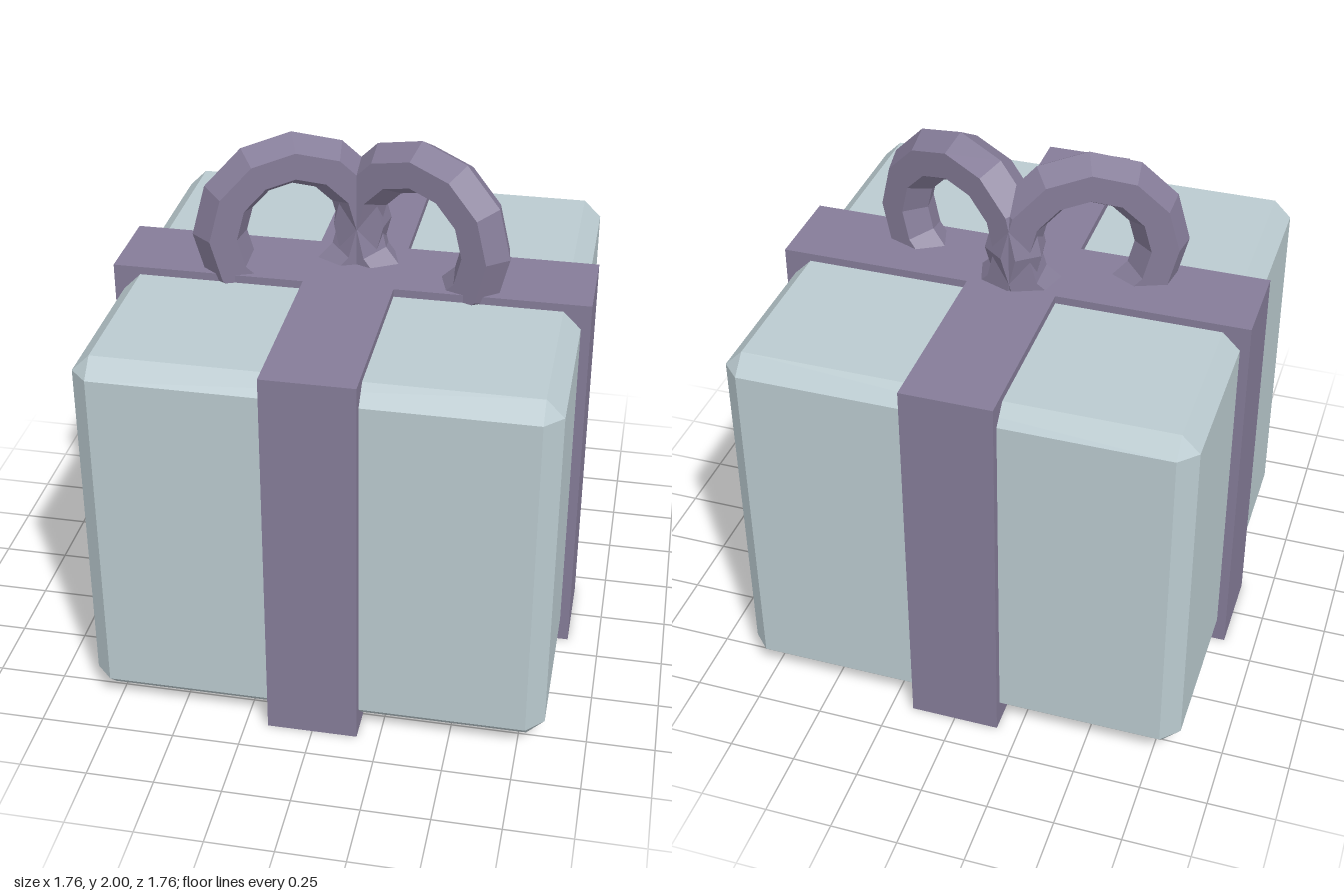
import * as THREE from 'three';
import { ConvexGeometry } from 'three/addons/geometries/ConvexGeometry.js';

// Box with flat chamfers on every edge, centred on the origin
function chamferBox(hx, hy, hz, c) {
  const points = [];
  for (const x of [-1, 1]) for (const y of [-1, 1]) for (const z of [-1, 1]) {
    points.push(
      new THREE.Vector3(x * hx, y * (hy - c), z * (hz - c)),
      new THREE.Vector3(x * (hx - c), y * hy, z * (hz - c)),
      new THREE.Vector3(x * (hx - c), y * (hy - c), z * hz)
    );
  }
  return new ConvexGeometry(points);
}

// Faceted copy of a smooth geometry
function faceted(geometry) {
  const flat = geometry.toNonIndexed();
  flat.computeVertexNormals();
  return flat;
}

export function createModel() {
  const paper = new THREE.MeshStandardMaterial({ color: 0xbacacf });
  paper.name = 'pale blue grey paper';
  const satin = new THREE.MeshStandardMaterial({ color: 0x857c98 });
  satin.name = 'muted purple ribbon';

  const model = new THREE.Group();
  model.name = 'giftBox';
  const add = (name, geometry, material) => {
    const mesh = new THREE.Mesh(geometry, material);
    mesh.name = name;
    model.add(mesh);
    return mesh;
  };

  // Wrapped box
  add('box', chamferBox(0.845, 0.7125, 0.845, 0.065), paper).position.y = 0.7475;

  // Crossed ribbon bands, one solid with a plus-shaped plan
  const a = 0.88, w = 0.167;
  const plan = new THREE.Shape([
    [a, -w], [a, w], [w, w], [w, a], [-w, a], [-w, w],
    [-a, w], [-a, -w], [-w, -w], [-w, -a], [w, -a], [w, -w]
  ].map(([x, y]) => new THREE.Vector2(x, y)));
  const bands = new THREE.ExtrudeGeometry(plan, { depth: 1.49, bevelEnabled: false });
  bands.rotateX(-Math.PI / 2);
  add('ribbonBands', bands, satin);

  // Bow loops: hexagonal rings swept forward, sunk into the lid
  const ring = faceted(new THREE.TorusGeometry(0.27, 0.1, 6, 12));
  for (const [name, side] of [['leftBowLoop', 1], ['rightBowLoop', -1]]) {
    const loop = add(name, ring, satin);
    loop.position.set(side * 0.237, 1.63, 0);
    loop.rotation.y = -side * THREE.MathUtils.degToRad(22);
  }
  return model;
}
